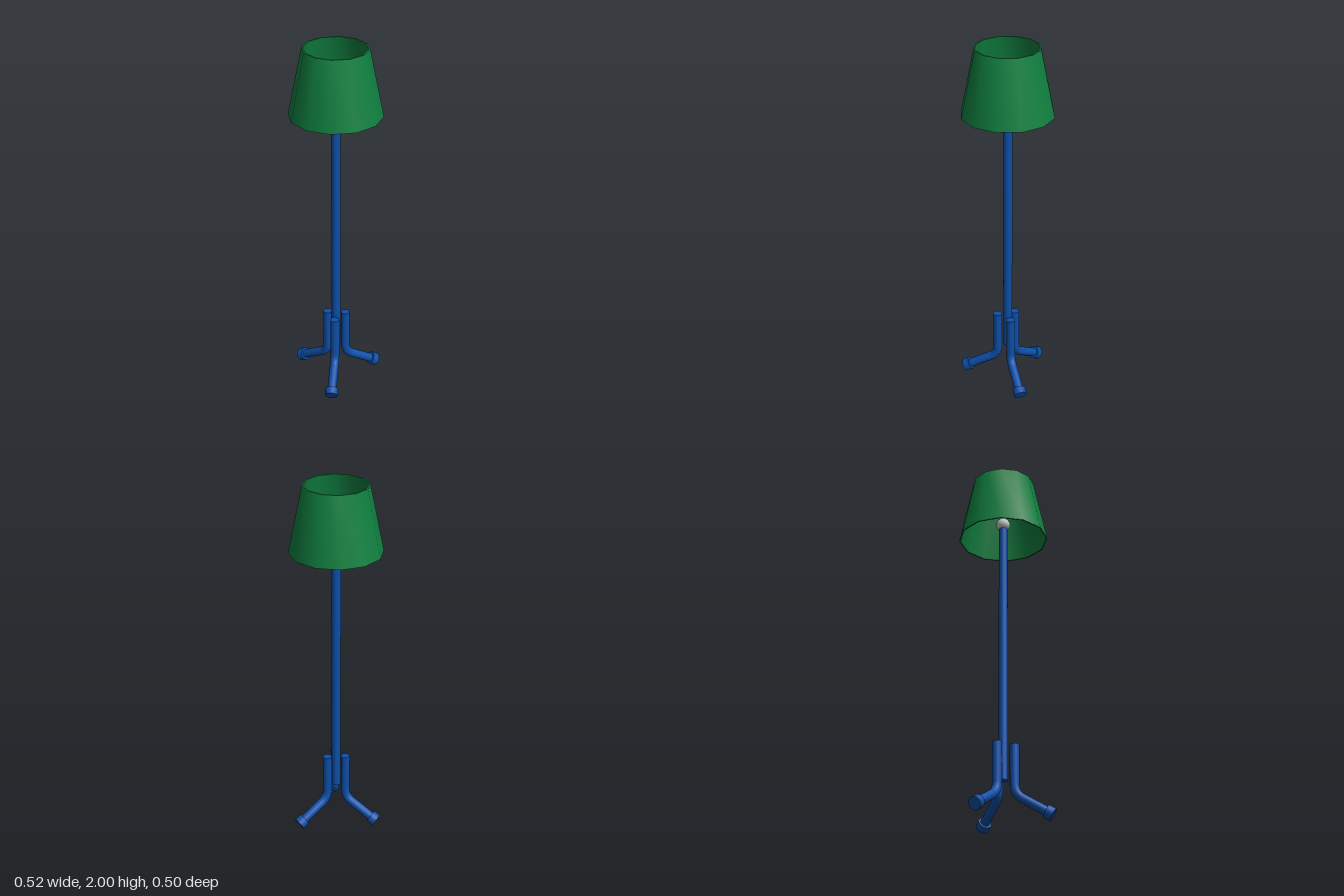
import * as THREE from 'three';
import { toCreasedNormals } from 'three/addons/utils/BufferGeometryUtils.js';

const blue = new THREE.MeshStandardMaterial({ color: 0x0d4fa8 });
const green = new THREE.MeshStandardMaterial({ color: 0x108040, side: THREE.DoubleSide });
const grey = new THREE.MeshStandardMaterial({ color: 0xcccccc });

function add(parent, name, geometry, material, x = 0, y = 0, z = 0) {
  const mesh = new THREE.Mesh(geometry, material);
  mesh.name = name;
  mesh.position.set(x, y, z);
  parent.add(mesh);
  return mesh;
}

// One bent leg, reaching out along +x
function createLeg() {
  const leg = new THREE.Group();
  leg.name = 'leg';
  const r = 0.025, slope = Math.PI / 6;
  const top = new THREE.Vector3(0.058, 0.415, 0);
  const knee = new THREE.Vector3(0.058, 0.147, 0);
  const out = new THREE.Vector3(Math.cos(slope), -Math.sin(slope), 0);
  const along = (d) => knee.clone().addScaledVector(out, d);
  const bendStart = new THREE.Vector3(0.058, 0.197, 0);

  const path = new THREE.CurvePath();
  path.add(new THREE.LineCurve3(top, bendStart));
  path.add(new THREE.QuadraticBezierCurve3(bendStart, knee, along(0.05)));
  path.add(new THREE.LineCurve3(along(0.05), along(0.2)));
  add(leg, 'legTube', new THREE.TubeGeometry(path, 40, r, 16), blue);

  // Flat end at the top of the tube
  const cap = add(leg, 'legCap', new THREE.CircleGeometry(r, 16), blue, top.x, top.y, 0);
  cap.rotation.x = -Math.PI / 2;

  // Wider foot sleeve on the lower end
  const foot = add(leg, 'foot', new THREE.CylinderGeometry(0.036, 0.036, 0.04, 20), blue);
  foot.position.copy(along(0.205));
  foot.rotation.z = Math.PI / 2 - slope;
  return leg;
}

export function createModel() {
  const lamp = new THREE.Group();
  lamp.name = 'floorLamp';
  const body = new THREE.Group();
  body.name = 'lampBody';
  body.position.x = -0.01;
  lamp.add(body);

  // Pole and bulb
  add(body, 'pole', new THREE.CylinderGeometry(0.025, 0.025, 1.49, 20), blue, 0, 0.22 + 0.745, 0);
  add(body, 'bulb', new THREE.SphereGeometry(0.04, 12, 10), grey, 0, 1.735, 0);

  // Thin twelve-sided shade, open at both ends
  const profile = [[0.241, 1.637], [0.249, 1.637], [0.174, 2], [0.166, 2], [0.241, 1.637]]
    .map(([x, y]) => new THREE.Vector2(x, y));
  add(body, 'shade', toCreasedNormals(new THREE.LatheGeometry(profile, 12), 0.6), green);

  // Three legs around the pole
  for (let i = 0; i < 3; i++) {
    const leg = createLeg();
    leg.rotation.y = (i * Math.PI * 2) / 3;
    body.add(leg);
  }
  return lamp;
}
